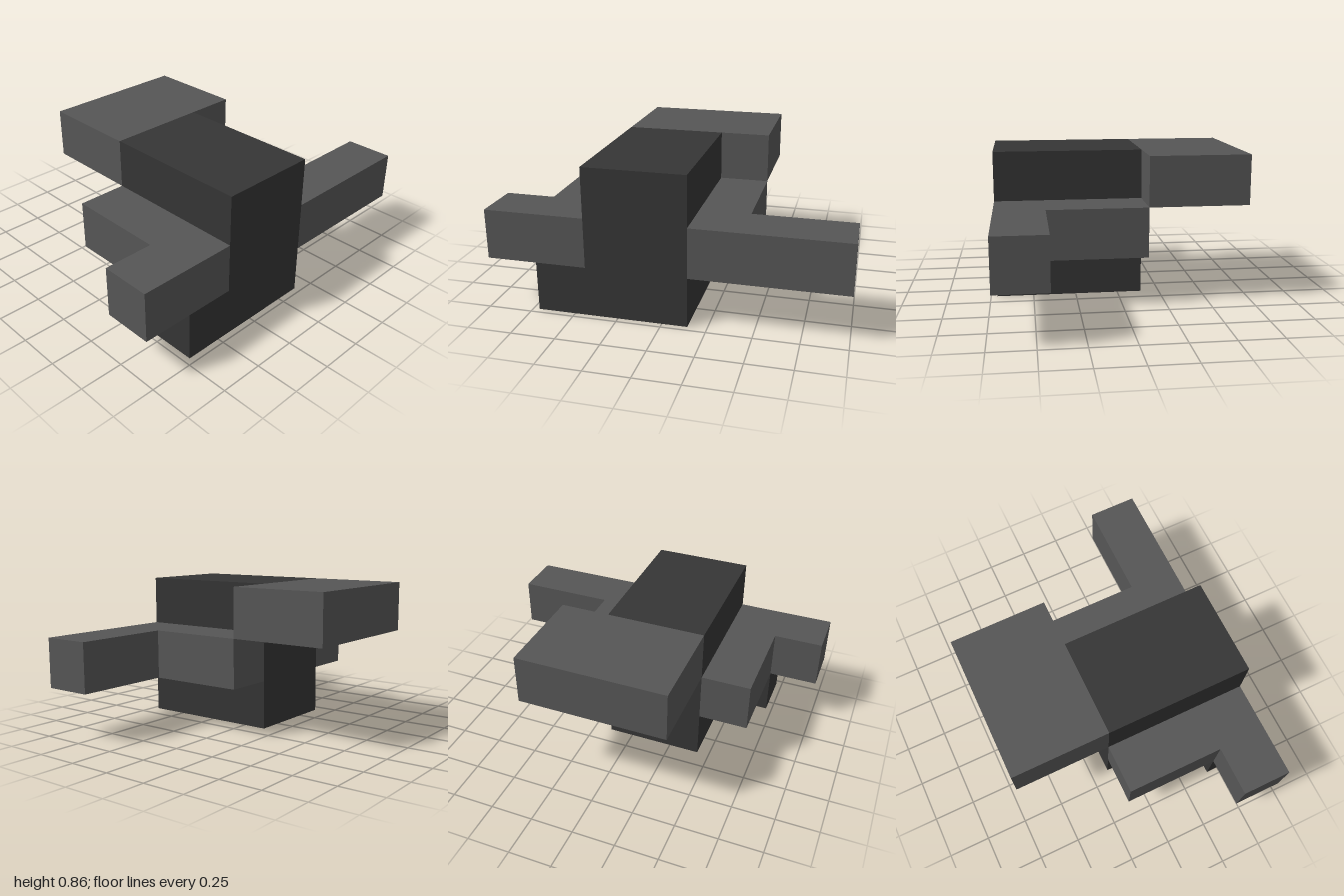
import * as THREE from 'three';

// One grid unit: the model is 5 x 3 x 7 units
const U = 2 / 7;

export function createModel() {
  const darkGrey = new THREE.MeshStandardMaterial({ color: 0x353535 });
  darkGrey.name = 'darkGrey';
  const midGrey = new THREE.MeshStandardMaterial({ color: 0x565656 });
  midGrey.name = 'midGrey';
  const group = new THREE.Group();
  group.name = 'blockFigure';

  // Extrudes a plan outline of [x, z] grid corners upwards from layer y0 to y1
  function block(name, material, outline, y0, y1) {
    const shape = new THREE.Shape(
      outline.map(([x, z]) => new THREE.Vector2((x - 2.5) * U, (3.5 - z) * U))
    );
    const geometry = new THREE.ExtrudeGeometry(shape, { depth: (y1 - y0) * U, bevelEnabled: false });
    geometry.rotateX(-Math.PI / 2);
    const mesh = new THREE.Mesh(geometry, material);
    mesh.name = name;
    mesh.position.y = y0 * U;
    group.add(mesh);
  }

  const rect = (x0, x1, z0, z1) => [[x0, z0], [x1, z0], [x1, z1], [x0, z1]];

  // Upright body with a small foot at the front
  block('body', darkGrey, rect(2, 5, 3, 5), 0, 3);
  block('frontFoot', darkGrey, rect(4, 5, 5, 6), 0, 1);

  // Slab reaching out sideways from the top layer
  block('topSlab', midGrey, rect(0, 2, 2, 5), 2, 3);

  // L-shaped arms in the middle layer
  block('frontArm', midGrey, [[2, 5], [5, 5], [5, 7], [4, 7], [4, 6], [2, 6]], 1, 2);
  block('backArm', midGrey, [[2, 3], [2, 2], [4, 2], [4, 0], [5, 0], [5, 3]], 1, 2);

  return group;
}
